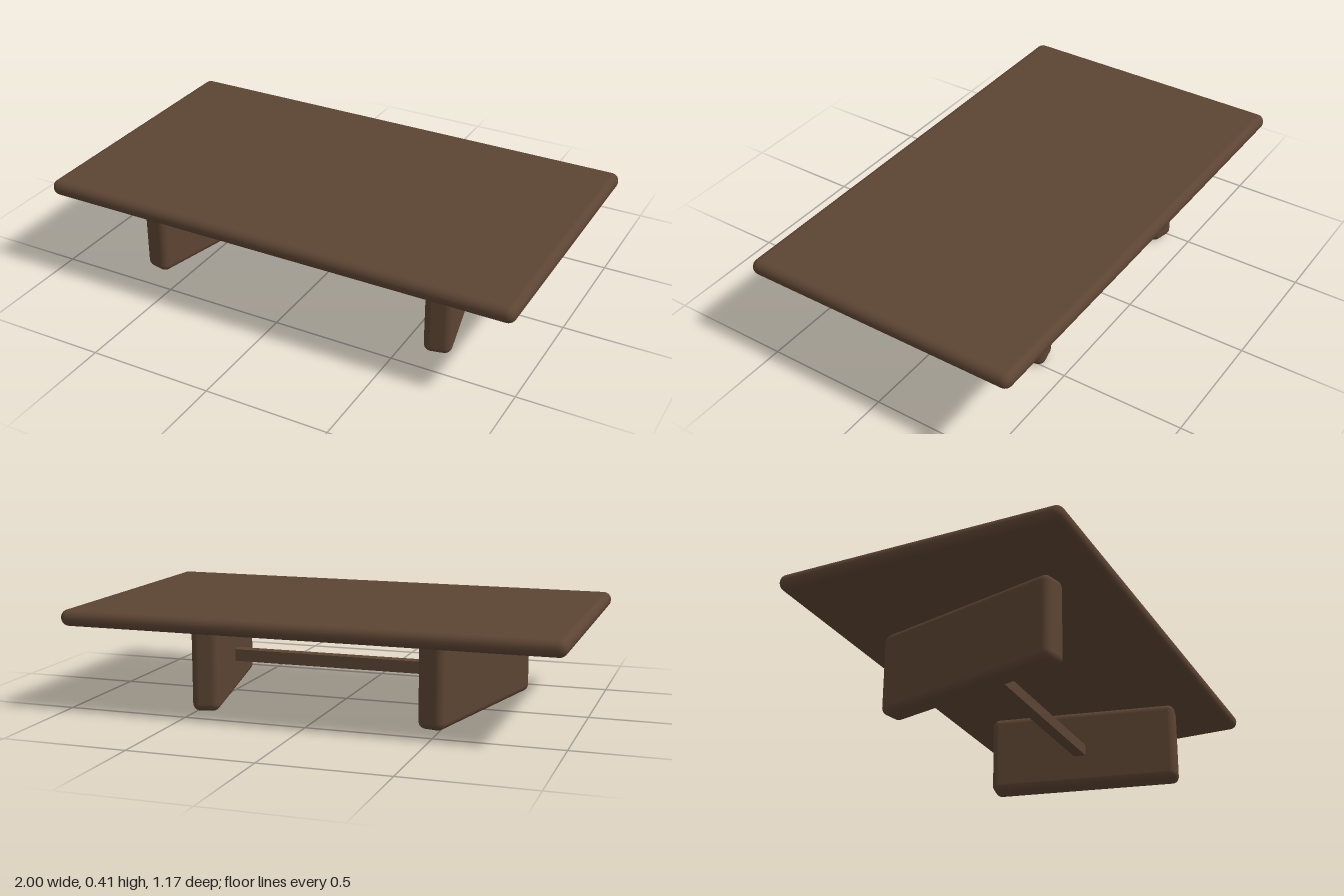
import * as THREE from 'three';
import { RoundedBoxGeometry } from 'three/addons/geometries/RoundedBoxGeometry.js';

export function createModel() {
  const table = new THREE.Group();
  table.name = 'coffeeTable';
  const wood = new THREE.MeshStandardMaterial({ color: 0x5c4433 });
  wood.name = 'darkWood';

  const addPart = (name, geometry, x, y, turn = 0) => {
    const mesh = new THREE.Mesh(geometry, wood);
    mesh.name = name;
    mesh.position.set(x, y, 0);
    mesh.rotation.y = turn;
    table.add(mesh);
  };

  // Slab top with fully rounded edges
  addPart('tableTop', new RoundedBoxGeometry(2, 0.066, 1.166, 4, 0.032), 0, 0.38);

  // Panel legs, splayed outward toward the front
  const legHeight = 0.347;
  for (const side of [-1, 1]) {
    addPart(side > 0 ? 'leftLeg' : 'rightLeg',
      new RoundedBoxGeometry(0.11, legHeight, 0.822, 4, 0.03),
      side * 0.55, legHeight / 2, side * 0.224);
  }

  // Square stretcher between the legs
  addPart('stretcher', new THREE.BoxGeometry(1, 0.05, 0.05), 0, 0.157);

  return table;
}
